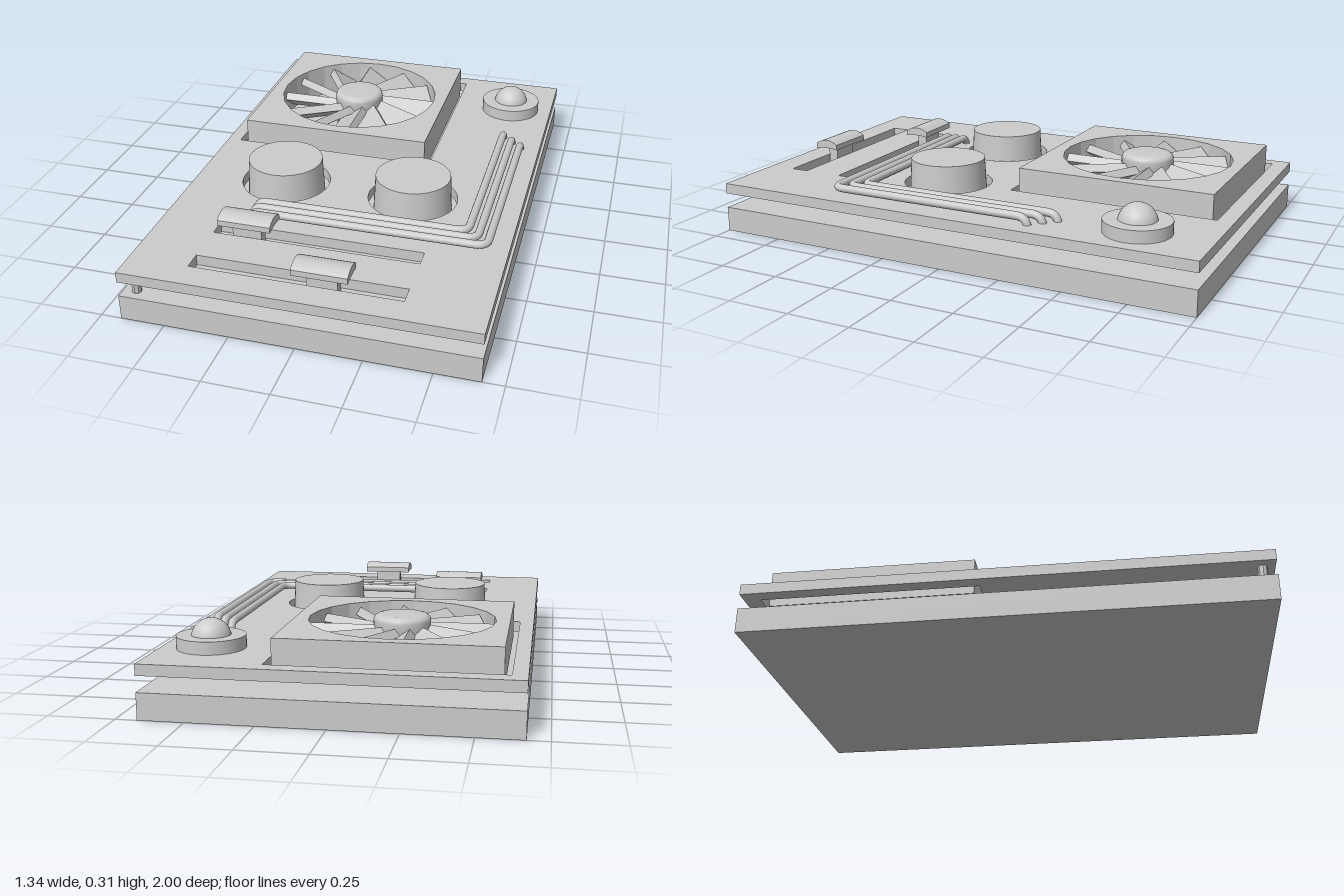
import * as THREE from 'three';

const material = new THREE.MeshStandardMaterial({ color: 0xcccccc });
const flat = new THREE.MeshStandardMaterial({ color: 0xcccccc, flatShading: true });
const thin = new THREE.MeshStandardMaterial({ color: 0xcccccc, side: THREE.DoubleSide });

function add(parent, name, geometry, x = 0, y = 0, z = 0, mat = material) {
  const mesh = new THREE.Mesh(geometry, mat);
  mesh.name = name;
  mesh.position.set(x, y, z);
  parent.add(mesh);
  return mesh;
}

// Rectangle in plan; shape y equals model z
function rect(path, x0, z0, x1, z1) {
  path.moveTo(x0, z0);
  path.lineTo(x1, z0);
  path.lineTo(x1, z1);
  path.lineTo(x0, z1);
  path.closePath();
  return path;
}

function circle(x, z, r) {
  return new THREE.Path().absarc(x, z, r, 0, Math.PI * 2, true);
}

// Horizontal slab with holes, from height y0 to y1
function slab(shape, y0, y1, curveSegments) {
  const g = new THREE.ExtrudeGeometry(shape, { depth: y1 - y0, bevelEnabled: false, curveSegments });
  g.rotateX(Math.PI / 2);
  g.translate(0, y1, 0);
  return g;
}

// Pipe through corner points, with rounded corners
function pipe(points, bend, radius) {
  const path = new THREE.CurvePath();
  let last = points[0];
  for (let i = 1; i < points.length - 1; i++) {
    const p = points[i];
    const a = p.clone().add(points[i - 1].clone().sub(p).setLength(bend));
    const b = p.clone().add(points[i + 1].clone().sub(p).setLength(bend));
    path.add(new THREE.LineCurve3(last, a));
    path.add(new THREE.QuadraticBezierCurve3(a, p, b));
    last = b;
  }
  path.add(new THREE.LineCurve3(last, points[points.length - 1]));
  return new THREE.TubeGeometry(path, 200, radius, 10);
}

export function createModel() {
  const model = new THREE.Group();
  model.name = 'controlPanel';
  const drums = [-0.3, 0.235];
  const sliders = [{ x: -0.305, z: 0.618 }, { x: 0.067, z: 0.855 }];
  const fanX = -0.19, fanZ = -0.51;

  // Base and raised cover plate with cut-outs
  add(model, 'base', new THREE.BoxGeometry(1.34, 0.1, 2), 0, 0.05, 0);
  const cover = rect(new THREE.Shape(), -0.67, -1, 0.67, 1);
  cover.holes.push(rect(new THREE.Path(), fanX - 0.425, fanZ - 0.425, fanX + 0.425, fanZ + 0.425));
  for (const x of drums) cover.holes.push(circle(x, 0.2, 0.18));
  for (const s of sliders) cover.holes.push(rect(new THREE.Path(), -0.435, s.z - 0.037, 0.37, s.z + 0.037));
  add(model, 'coverPlate', slab(cover, 0.16, 0.202, 24));
  add(model, 'cornerPost', new THREE.CylinderGeometry(0.018, 0.018, 0.06, 8), -0.618, 0.13, 0.953, flat);

  // Fan: square housing, tilted blades and rounded hub
  const fan = new THREE.Group();
  fan.name = 'fan';
  fan.position.set(fanX, 0, fanZ);
  model.add(fan);
  const housing = rect(new THREE.Shape(), -0.4, -0.4, 0.4, 0.4);
  housing.holes.push(circle(0, 0, 0.35));
  add(fan, 'fanHousing', slab(housing, 0.145, 0.29, 12));
  for (let i = 0; i < 12; i++) {
    const arm = new THREE.Group();
    arm.name = 'fanBlade';
    arm.rotation.y = (i * Math.PI) / 6;
    fan.add(arm);
    add(arm, 'blade', new THREE.BoxGeometry(0.27, 0.035, 0.125), 0.205, 0.222, 0).rotation.x = 0.6;
  }
  const hub = [[0, 0.15], [0.105, 0.15], [0.108, 0.285], [0.104, 0.298], [0.095, 0.306], [0.08, 0.31], [0, 0.31]];
  add(fan, 'fanHub', new THREE.LatheGeometry(hub.map(p => new THREE.Vector2(...p)), 32));

  // Two slightly tapered drums standing on the base
  for (const x of drums) {
    add(model, 'drum', new THREE.CylinderGeometry(0.15, 0.161, 0.205, 48), x, 0.2025, 0.2);
  }

  // Domed button on a round collar
  add(model, 'buttonCollar', new THREE.CylinderGeometry(0.128, 0.128, 0.05, 40), 0.485, 0.225, -0.715);
  add(model, 'buttonDome', new THREE.SphereGeometry(0.074, 32, 20), 0.485, 0.238, -0.715);

  // Three nested pipes whose ends drop through the cover plate
  for (let i = 0; i < 3; i++) {
    const x = 0.503 + i * 0.043, z = 0.435 + i * 0.041, end = -0.415 + i * 0.042;
    const points = [[-0.342, 0.145, z], [-0.342, 0.23, z], [x, 0.23, z], [x, 0.23, end], [x, 0.145, end]];
    add(model, 'pipe', pipe(points.map(p => new THREE.Vector3(...p)), 0.045, 0.016), 0, 0, 0, thin);
  }

  // Sliders: rail under the slot, stem and arched cap
  const cap = new THREE.Shape();
  cap.moveTo(-0.02, 0.25);
  cap.lineTo(0.02, 0.25);
  cap.lineTo(0.053, 0.245);
  cap.lineTo(0.053, 0.268);
  cap.quadraticCurveTo(0, 0.303, -0.053, 0.268);
  cap.lineTo(-0.053, 0.245);
  for (const s of sliders) {
    add(model, 'sliderRail', new THREE.BoxGeometry(0.84, 0.06, 0.12), -0.033, 0.13, s.z);
    add(model, 'sliderStem', new THREE.BoxGeometry(0.115, 0.095, 0.042), s.x, 0.2075, s.z);
    const g = new THREE.ExtrudeGeometry(cap, { depth: 0.21, bevelEnabled: false, curveSegments: 8 });
    g.translate(0, 0, -0.105);
    g.rotateY(Math.PI / 2);
    add(model, 'sliderCap', g, s.x, 0, s.z);
  }
  return model;
}
